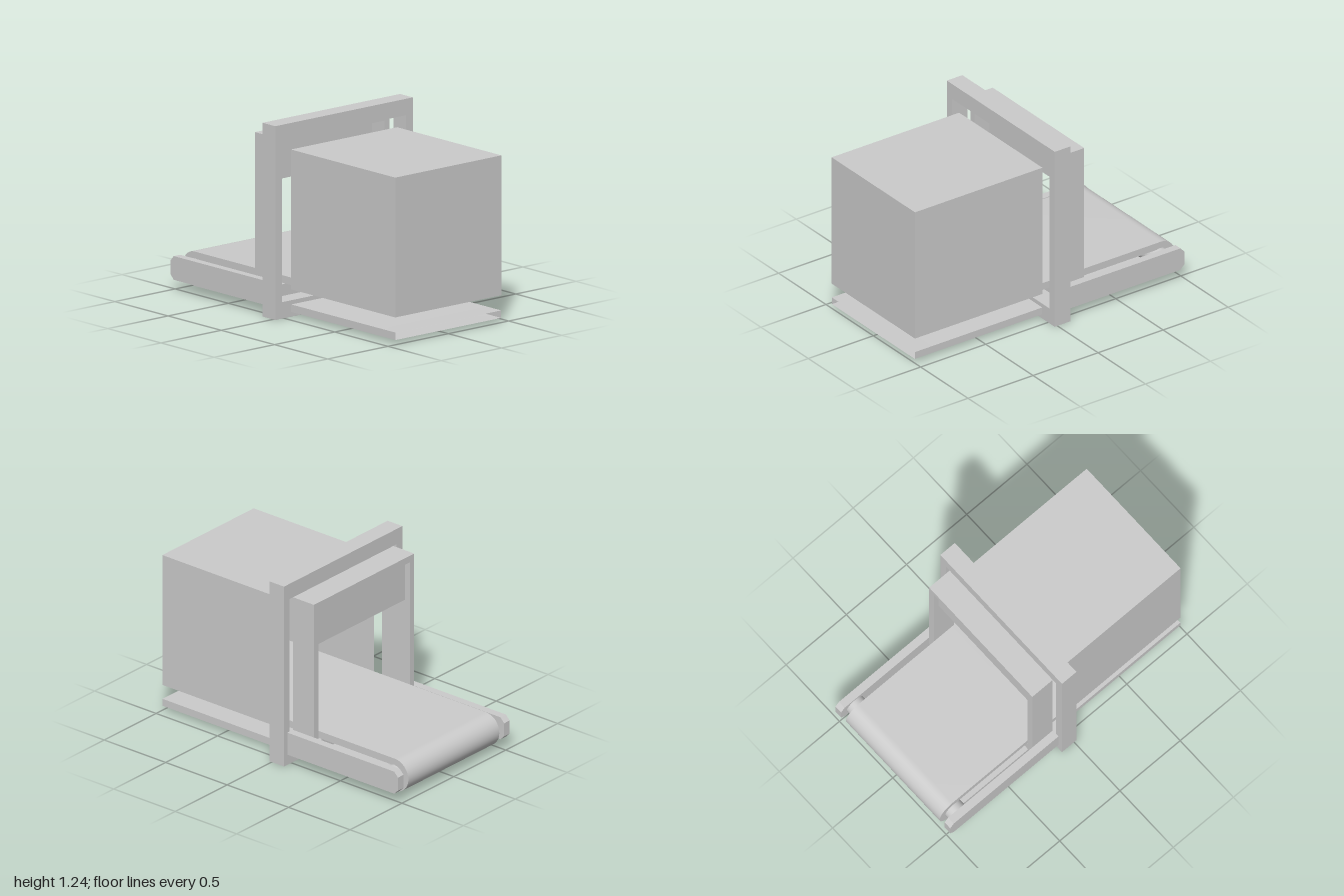
import * as THREE from 'three';
import { toCreasedNormals } from 'three/addons/utils/BufferGeometryUtils.js';

const material = new THREE.MeshStandardMaterial({ color: 0xcccccc });
const shellMaterial = new THREE.MeshStandardMaterial({ color: 0xcccccc, side: THREE.DoubleSide });

function part(group, name, geometry, mat = material) {
  const mesh = new THREE.Mesh(geometry, mat);
  mesh.name = name;
  group.add(mesh);
  return mesh;
}

// Box given by its limits on each axis
function block(x0, x1, y0, y1, z0, z1) {
  return new THREE.BoxGeometry(x1 - x0, y1 - y0, z1 - z0)
    .translate((x0 + x1) / 2, (y0 + y1) / 2, (z0 + z1) / 2);
}

// Drop the triangles lying in the plane x = value, leaving that end open
function openEnd(geometry, value) {
  const flat = geometry.index ? geometry.toNonIndexed() : geometry;
  const p = flat.attributes.position;
  const kept = [];
  for (let i = 0; i < p.count; i += 3) {
    const inPlane = [0, 1, 2].every((k) => Math.abs(p.getX(i + k) - value) < 1e-4);
    if (inPlane) continue;
    for (let k = 0; k < 3; k++) kept.push(p.getX(i + k), p.getY(i + k), p.getZ(i + k));
  }
  const result = new THREE.BufferGeometry();
  result.setAttribute('position', new THREE.Float32BufferAttribute(kept, 3));
  result.computeVertexNormals();
  return result;
}

// Rectangular ring standing across x, with a rectangular opening
function portal(x0, x1, halfOuter, y0, y1, halfInner, inner0, inner1) {
  const rect = (target, h, a, b) => {
    target.moveTo(-h, a);
    target.lineTo(h, a);
    target.lineTo(h, b);
    target.lineTo(-h, b);
    target.closePath();
    return target;
  };
  const shape = rect(new THREE.Shape(), halfOuter, y0, y1);
  shape.holes.push(rect(new THREE.Path(), halfInner, inner0, inner1));
  return new THREE.ExtrudeGeometry(shape, { depth: x1 - x0, bevelEnabled: false })
    .rotateY(Math.PI / 2)
    .translate(x0, 0, 0);
}

// Profile in x and y, extruded between two z values
function slab(shape, z0, z1, curveSegments = 12) {
  return new THREE.ExtrudeGeometry(shape, { depth: z1 - z0, bevelEnabled: false, curveSegments })
    .translate(0, 0, z0);
}

export function createModel() {
  const model = new THREE.Group();
  model.name = 'conveyorTunnel';

  // Main portal and the smaller entrance collar in front of it
  part(model, 'mainFrame', portal(-0.1, 0.02, 0.57, 0, 1.24, 0.515, 0.105, 1.135));
  part(model, 'entranceCollar', portal(-0.27, -0.1, 0.483, 0.105, 1.135, 0.44, 0.18, 1.09));

  // Short curtain hanging in the entrance
  part(model, 'curtain', block(-0.23, -0.215, 0.82, 1.09, -0.44, 0.44));

  // Hollow chamber, open towards the entrance
  part(model, 'chamber', openEnd(block(0.02, 1, 0.175, 1.07, -0.44, 0.44), 0.02), shellMaterial);

  // Belt: upper and lower runs joined round the end roller, cut open at the far end
  const cx = -0.89, cy = 0.14, outer = 0.11, inner = 0.062;
  const loop = new THREE.Shape();
  loop.moveTo(1, cy + outer);
  loop.lineTo(cx, cy + outer);
  loop.absarc(cx, cy, outer, Math.PI / 2, Math.PI * 1.5, false);
  loop.lineTo(1, cy - outer);
  loop.lineTo(1, cy - inner);
  loop.lineTo(cx, cy - inner);
  loop.absarc(cx, cy, inner, Math.PI * 1.5, Math.PI / 2, true);
  loop.lineTo(1, cy + inner);
  loop.closePath();
  const belt = toCreasedNormals(openEnd(slab(loop, -0.438, 0.438), 1), Math.PI / 5);
  part(model, 'belt', belt, shellMaterial);

  // End roller between the rails
  part(model, 'roller', new THREE.CylinderGeometry(0.067, 0.067, 0.98, 24)
    .rotateX(Math.PI / 2).translate(-0.885, cy, 0));

  // Side rails with chamfered tips
  const rail = new THREE.Shape([
    [-0.1, 0.07], [-0.1, 0.222], [-0.97, 0.222], [-1, 0.19], [-1, 0.1], [-0.97, 0.07],
  ].map(([x, y]) => new THREE.Vector2(x, y)));
  for (const [name, z0, z1] of [['leftRail', 0.485, 0.538], ['rightRail', -0.538, -0.485]]) {
    part(model, name, slab(rail, z0, z1));
  }

  return model;
}
